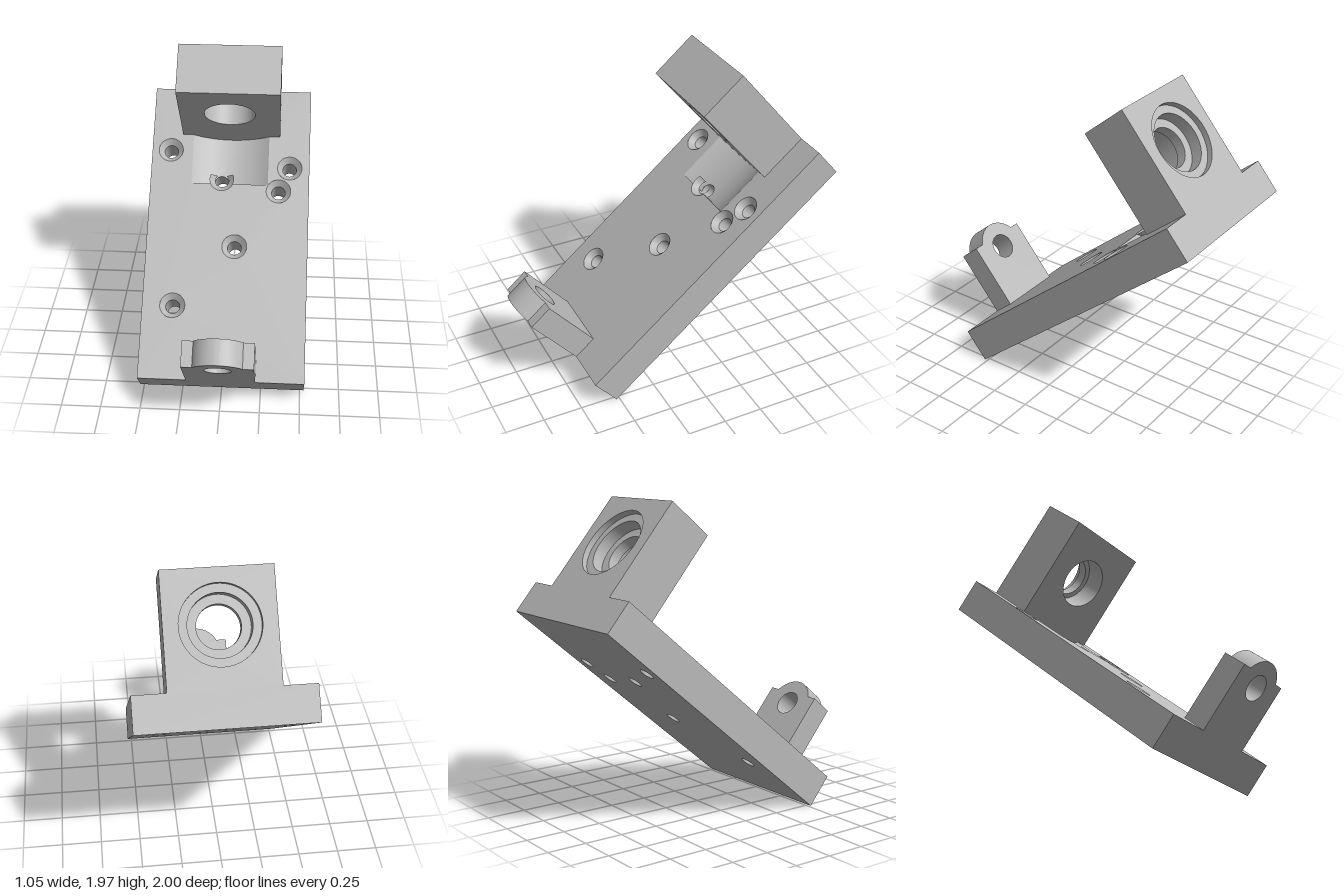
import * as THREE from 'three';
import { toCreasedNormals } from 'three/addons/utils/BufferGeometryUtils.js';
import { ParametricGeometry } from 'three/addons/geometries/ParametricGeometry.js';

// Working frame: x across, n = height above the plate's underside, u = distance up the slope (u = -z).
const W = 0.525, L = 1.985, T = 0.22;          // plate half width, length, thickness
const AXIS = 0.58;                             // height of the common bore axis
const RIM = 0.081, R = 0.045, SINK = RIM - R;  // countersunk holes
const G = { r: 0.44, half: 0.253, u0: 1.31, u1: 1.654 }; // round relief groove
const HOLES = [[-0.4, 1.541], [0.395, 1.432], [0.325, 1.269], [0.05, 0.88], [-0.33, 0.476]];
const CUT = [-0.052, 1.344];                   // hole that breaks into the groove
const D = CUT[1] - G.u0;

const floorAt = (x) => AXIS - Math.sqrt(G.r ** 2 - x ** 2);
const chord = (r) => Math.sqrt(Math.max(0, r * r - D * D));

function circle(x, y, r) {
  return new THREE.Path().absarc(x, y, r, 0, Math.PI * 2, false);
}
function rect(x0, y0, x1, y1) {
  return new THREE.Shape([[x0, y0], [x1, y0], [x1, y1], [x0, y1]].map((p) => new THREE.Vector2(...p)));
}

export function createModel() {
  const model = new THREE.Group();
  model.name = 'angledBracket';
  const body = new THREE.Group();
  body.name = 'tiltedBody';
  body.rotation.x = THREE.MathUtils.degToRad(40);
  body.position.z = 0.52;
  model.add(body);

  const grey = new THREE.MeshStandardMaterial({ color: 0xb8b8b8, side: THREE.DoubleSide });
  grey.name = 'machined grey';

  const add = (name, geometry) => {
    const mesh = new THREE.Mesh(geometry, grey);
    mesh.name = name;
    body.add(mesh);
    return mesh;
  };
  // flat face lying in the plate's plane
  const face = (name, shape, n) => {
    add(name, new THREE.ShapeGeometry(shape, 40).rotateX(-Math.PI / 2)).position.y = n;
  };
  // upright slab standing across the slope, from u0 to u1
  const slab = (name, shape, u0, u1) => {
    const g = new THREE.ExtrudeGeometry(shape, { depth: u1 - u0, bevelEnabled: false, curveSegments: 40 });
    add(name, toCreasedNormals(g, 0.6)).position.z = -u1;
  };
  // surface given by a rule returning [x, n, u]
  const surface = (name, rule, cols, rows) => {
    const g = new ParametricGeometry((a, b, t) => {
      const [x, n, u] = rule(a, b);
      t.set(x, n, -u);
    }, cols, rows);
    g.computeVertexNormals();
    add(name, g);
  };

  // Plate sides
  const sides = new THREE.BoxGeometry(2 * W, T, L).translate(0, T / 2, -L / 2);
  sides.setIndex(Array.from(sides.index.array).filter((_, i) => i < 12 || i >= 24));
  add('plateSides', sides);

  // Plate underside with through holes
  const under = rect(-W, 0, W, L);
  [...HOLES, CUT].forEach(([x, u]) => under.holes.push(circle(x, u, R)));
  face('plateUnderside', under, 0);

  // Plate top with countersinks and the groove opening
  const top = rect(-W, 0, W, L);
  HOLES.forEach(([x, u]) => top.holes.push(circle(x, u, RIM)));
  const opening = new THREE.Path();
  opening.moveTo(-G.half, G.u0).lineTo(-G.half, G.u1).lineTo(G.half, G.u1).lineTo(G.half, G.u0);
  const a = Math.atan2(-D, chord(RIM));
  opening.absarc(CUT[0], CUT[1], RIM, a, -Math.PI - a, true);
  opening.lineTo(-G.half, G.u0);
  top.holes.push(opening);
  face('plateTop', top, T);

  // Countersunk holes
  for (const [x, u] of HOLES) {
    const cone = new THREE.CylinderGeometry(RIM, R, SINK, 40, 1, true);
    add('countersink', cone).position.set(x, T - SINK / 2, -u);
    const bore = new THREE.CylinderGeometry(R, R, T - SINK, 40, 1, true);
    add('screwHole', bore).position.set(x, (T - SINK) / 2, -u);
  }
  surface('groovedCountersink', (s, t) => {
    const r = R + (RIM - R) * t;
    const th = (2 * s - 1) * (Math.PI - Math.acos(D / r));
    return [CUT[0] + r * Math.sin(th), T - SINK * (1 - t), CUT[1] - r * Math.cos(th)];
  }, 40, 2);
  surface('groovedScrewHole', (s, t) => {
    const th = s * Math.PI * 2;
    const x = CUT[0] + R * Math.sin(th), du = -R * Math.cos(th);
    return [x, t * (du < -D ? T - SINK : floorAt(x)), CUT[1] + du];
  }, 64, 1);

  // Groove floor, split in two around the hole
  const across = (s) => (2 * s - 1) * G.half;
  const holeHalf = (x) => Math.sqrt(Math.max(0, R * R - (x - CUT[0]) ** 2));
  surface('grooveFloorBack', (s, t) => {
    const x = across(s), u = CUT[1] + holeHalf(x);
    return [x, floorAt(x), u + (G.u1 - u) * t];
  }, 100, 1);
  surface('grooveFloorFront', (s, t) => {
    const x = across(s), u = Math.max(G.u0, CUT[1] - holeHalf(x));
    return [x, floorAt(x), G.u0 + (u - G.u0) * t];
  }, 100, 1);

  // Groove end wall on both sides of the hole
  for (const side of [-1, 1]) {
    const pts = [];
    const inner = CUT[0] + side * chord(R);
    for (let i = 0; i <= 20; i++) {
      const x = side * G.half + (inner - side * G.half) * (i / 20);
      pts.push(new THREE.Vector2(x, floorAt(x)));
    }
    for (let i = 0; i <= 6; i++) {
      const t = i / 6;
      pts.push(new THREE.Vector2(CUT[0] + side * chord(R + (RIM - R) * t), T - SINK * (1 - t)));
    }
    add('grooveEndWall', new THREE.ShapeGeometry(new THREE.Shape(pts))).position.z = -G.u0;
  }

  // Bearing block in layers with a stepped bore; the first reaches down to close the groove
  const steps = [[1.654, 1.8, 0.164, 0.1], [1.8, 1.867, 0.13, T], [1.867, 1.947, 0.185, T], [1.947, L, 0.236, T]];
  for (const [u0, u1, r, base] of steps) {
    const shape = rect(-0.325, base, 0.325, 0.905);
    shape.holes.push(circle(0, AXIS, r));
    slab('bearingBlock', shape, u0, u1);
  }

  // Front lug with rounded crown and pivot hole
  const lr = 0.17, shoulder = 0.66, la = Math.asin((shoulder - AXIS) / lr), lx = lr * Math.cos(la);
  const lug = new THREE.Shape();
  lug.moveTo(-0.218, T).lineTo(0.218, T).lineTo(0.218, shoulder).lineTo(lx, shoulder);
  lug.absarc(0, AXIS, lr, la, Math.PI - la, false);
  lug.lineTo(-0.218, shoulder);
  lug.holes.push(circle(0, AXIS, 0.082));
  slab('frontLug', lug, 0, 0.16);

  return model;
}
